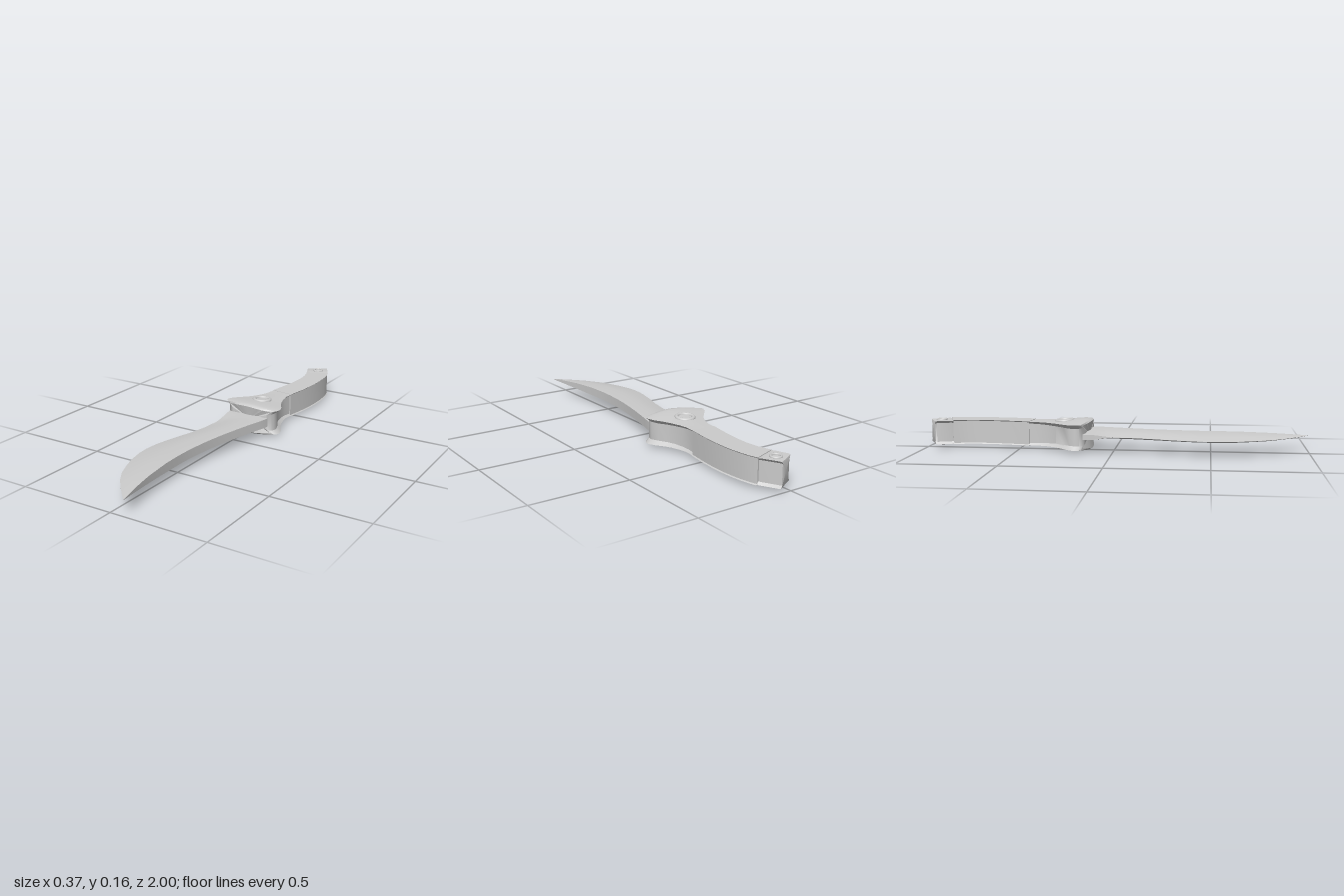
import * as THREE from 'three';
import { toCreasedNormals } from 'three/addons/utils/BufferGeometryUtils.js';

const MID_Y = 0.08; // height of the flat plane of symmetry

// Skin closed rings of equal length (counter-clockwise, ordered back to front) and cap both ends.
function loft(rings, crease) {
  const n = rings[0].length, pos = rings.flat(2), idx = [];
  for (let i = 0; i < rings.length - 1; i++) {
    for (let j = 0; j < n; j++) {
      const a = i * n + j, b = i * n + (j + 1) % n;
      idx.push(a, b, b + n, a, b + n, a + n);
    }
  }
  [0, rings.length - 1].forEach((r) => {
    const c = pos.length / 3;
    for (let k = 0; k < 3; k++) pos.push(rings[r].reduce((s, p) => s + p[k], 0) / n);
    for (let j = 0; j < n; j++) {
      const a = r * n + j, b = r * n + (j + 1) % n;
      if (r === 0) idx.push(c, b, a); else idx.push(c, a, b);
    }
  });
  const g = new THREE.BufferGeometry();
  g.setAttribute('position', new THREE.Float32BufferAttribute(pos, 3));
  g.setIndex(idx);
  return toCreasedNormals(g, crease);
}

// Rounded slab section between a left and a right point; the faces may be crowned and the line bowed forward.
function slabRing([lx, lz, rx, rz, side, mid, radius, bow = 0]) {
  const width = Math.hypot(rx - lx, rz - lz), half = [];
  const add = (t, drop) => {
    const u = Math.abs(2 * t - 1);
    half.push([t, side + (mid - side) * (1 - u ** 1.5) - drop]);
  };
  const steps = 5, e = radius / width;
  for (let i = 0; i <= steps; i++) {
    const a = (i / steps) * Math.PI / 2;
    add(e * (1 - Math.sin(a)), radius * (1 - Math.cos(a - Math.PI / 2)));
  }
  for (let i = 1; i < 10; i++) add(e + (1 - 2 * e) * i / 10, 0);
  for (let i = 0; i <= steps; i++) {
    const a = (i / steps) * Math.PI / 2;
    add(1 - e * (1 - Math.cos(a)), radius * (1 - Math.cos(a)));
  }
  const point = (t, h) => [
    lx + (rx - lx) * t, MID_Y + h, lz + (rz - lz) * t + bow * (1 - (2 * t - 1) ** 2)];
  return [
    ...half.map(([t, h]) => point(t, -h)),
    ...half.slice().reverse().map(([t, h]) => point(t, h)),
  ];
}

export function createModel() {
  const group = new THREE.Group();
  const material = new THREE.MeshStandardMaterial({ color: 0xcccccc });
  const add = (name, geometry) => {
    const mesh = new THREE.Mesh(geometry, material);
    mesh.name = name;
    group.add(mesh);
    return mesh;
  };

  // Blade: z, cutting edge x, spine x, spine half thickness, edge half thickness
  const bladeRows = [
    [-0.15, -0.112, 0.137, 0.023, 0.014],
    [-0.10, -0.106, 0.130, 0.023, 0.013],
    [-0.05, -0.101, 0.117, 0.023, 0.006],
    [0.00, -0.100, 0.104, 0.023, 0.0005],
    [0.10, -0.105, 0.081, 0.023, 0.0005],
    [0.20, -0.124, 0.061, 0.023, 0.0005],
    [0.30, -0.152, 0.045, 0.023, 0.0005],
    [0.40, -0.175, 0.035, 0.023, 0.0005],
    [0.45, -0.182, 0.032, 0.023, 0.0005],
    [0.50, -0.185, 0.030, 0.023, 0.0005],
    [0.56, -0.180, 0.031, 0.023, 0.0005],
    [0.63, -0.165, 0.033, 0.0225, 0.0005],
    [0.70, -0.142, 0.038, 0.020, 0.0005],
    [0.78, -0.107, 0.045, 0.017, 0.0005],
    [0.85, -0.062, 0.054, 0.013, 0.0005],
    [0.92, -0.001, 0.065, 0.008, 0.0005],
    [0.97, 0.047, 0.074, 0.004, 0.0004],
    [1.00, 0.079, 0.080, 0.0005, 0.0002],
  ];
  add('blade', loft(bladeRows.map(([z, edge, spine, h, e]) => {
    const half = [0, 0.3, 0.62, 1].map((t, i) => [
      edge + (spine - edge) * t, [e, e + (h - e) * 0.62, h, h][i]]);
    return [
      ...half.map(([x, y]) => [x, MID_Y - y, z]),
      ...half.reverse().map(([x, y]) => [x, MID_Y + y, z]),
    ];
  }), 0.6));

  // Guard: left x, z, right x, z, side and middle half thickness, corner radius, forward bow
  add('guard', loft([
    [-0.012, -0.456, 0.109, -0.440, 0.062, 0.062, 0.010],
    [-0.018, -0.400, 0.104, -0.390, 0.062, 0.063, 0.012],
    [-0.035, -0.350, 0.111, -0.345, 0.062, 0.065, 0.015],
    [-0.065, -0.300, 0.125, -0.295, 0.062, 0.068, 0.018],
    [-0.105, -0.255, 0.143, -0.255, 0.063, 0.071, 0.020],
    [-0.136, -0.220, 0.168, -0.215, 0.064, 0.075, 0.022],
    [-0.147, -0.192, 0.182, -0.178, 0.065, 0.078, 0.022, 0.008],
    [-0.143, -0.172, 0.180, -0.155, 0.065, 0.079, 0.022, 0.015],
    [-0.130, -0.159, 0.170, -0.139, 0.064, 0.078, 0.022, 0.022],
    [-0.112, -0.152, 0.150, -0.131, 0.058, 0.071, 0.020, 0.024],
  ].map(slabRing), 0.7));

  // Curved grip
  add('grip', loft([
    [-0.010, -0.858, 0.109, -0.902, 0.064, 0.064, 0.005],
    [0.003, -0.820, 0.120, -0.865, 0.064, 0.064, 0.005],
    [0.012, -0.780, 0.128, -0.820, 0.064, 0.064, 0.005],
    [0.017, -0.735, 0.134, -0.760, 0.064, 0.064, 0.005],
    [0.017, -0.690, 0.136, -0.700, 0.064, 0.064, 0.005],
    [0.013, -0.630, 0.134, -0.630, 0.064, 0.064, 0.005],
    [0.003, -0.550, 0.126, -0.545, 0.064, 0.064, 0.005],
    [-0.013, -0.452, 0.110, -0.436, 0.064, 0.064, 0.005],
  ].map(slabRing), 0.6));

  // Pommel with softened ends
  add('pommel', loft([
    [-0.036, -0.949, 0.050, -0.996, 0.054, 0.054, 0.010],
    [-0.042, -0.943, 0.056, -0.997, 0.060, 0.060, 0.012],
    [-0.042, -0.936, 0.060, -0.990, 0.062, 0.062, 0.012],
    [-0.016, -0.868, 0.103, -0.910, 0.062, 0.062, 0.012],
    [-0.010, -0.856, 0.107, -0.900, 0.060, 0.060, 0.012],
  ].map(slabRing), 0.7));

  // Raised rings on both faces of guard and pommel
  [
    ['guardRing', 0.022, -0.265, 0.042, 0.010, 0.068, 0.07],
    ['pommelRing', 0.029, -0.930, 0.024, 0.0065, 0.063, 0],
  ].forEach(([name, x, z, radius, tube, height, tilt]) => {
    for (const s of [1, -1]) {
      const ring = add(name, new THREE.TorusGeometry(radius, tube, 12, 40));
      ring.position.set(x, MID_Y + s * height, z);
      ring.rotation.x = Math.PI / 2 - s * tilt;
    }
  });

  return group;
}
